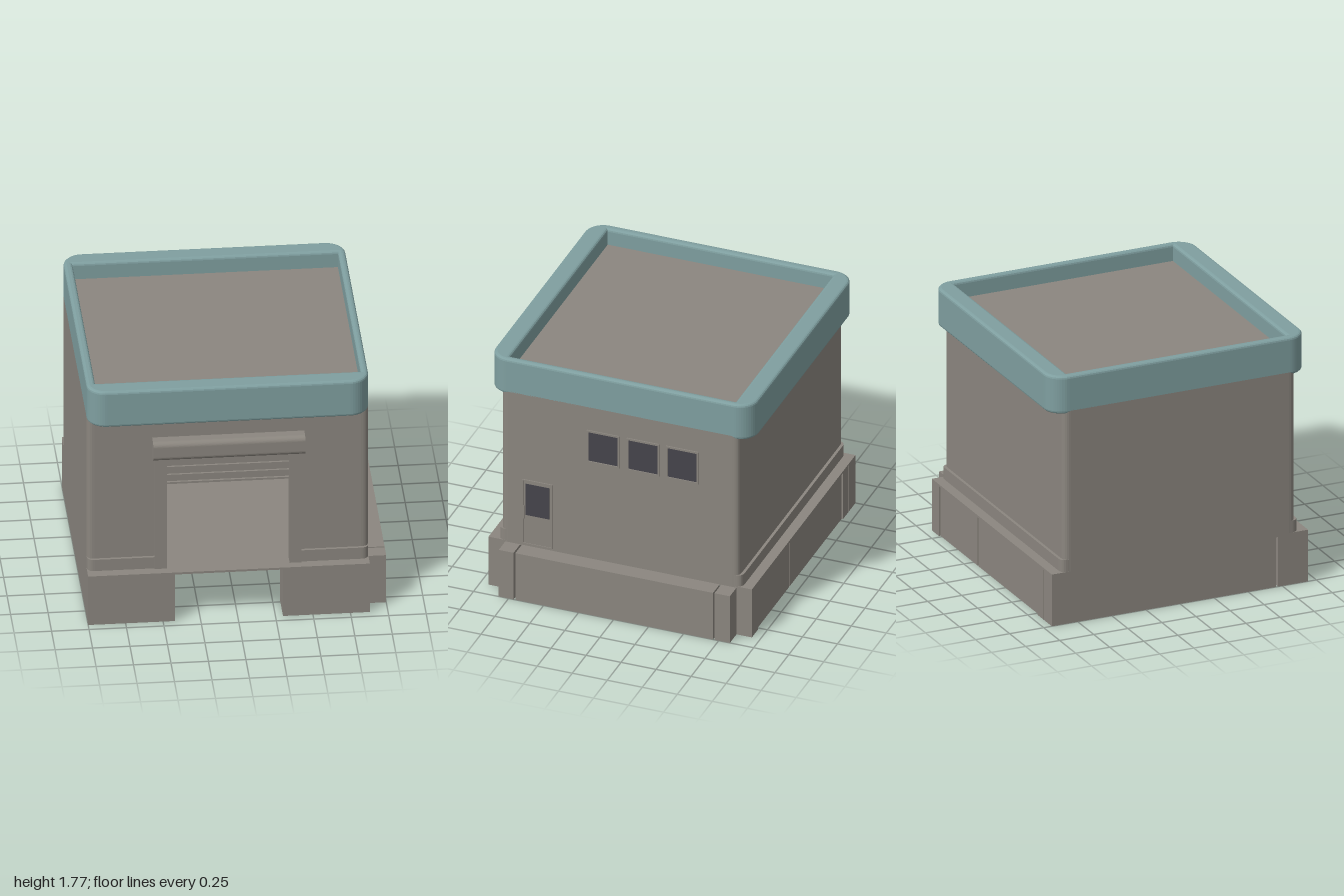
import * as THREE from 'three';

const X0 = -1, X1 = 0.88;        // outer x limits of the building
const DOOR0 = -0.47, DOOR1 = 0.35; // garage opening

export function createModel() {
  const model = new THREE.Group();
  const mat = (name, color) => {
    const m = new THREE.MeshStandardMaterial({ color });
    m.name = name;
    return m;
  };
  const grey = mat('concrete grey', 0x8b867f);
  const teal = mat('roof teal', 0x7f9fa0);
  const dark = mat('dark glass', 0x45444b);
  const tan = mat('board tan', 0xa08b6c);
  const slate = mat('plate slate', 0x858589);

  const add = (name, geo, material) => {
    const mesh = new THREE.Mesh(geo, material);
    mesh.name = name;
    model.add(mesh);
    return mesh;
  };
  // Box given by its limits on each axis
  const box = (name, x0, x1, y0, y1, z0, z1, material = grey) => {
    const geo = new THREE.BoxGeometry(x1 - x0, y1 - y0, z1 - z0);
    geo.translate((x0 + x1) / 2, (y0 + y1) / 2, (z0 + z1) / 2);
    return add(name, geo, material);
  };
  const roundedRect = (x0, x1, y0, y1, r) => {
    const s = new THREE.Shape();
    s.absarc(x1 - r, y1 - r, r, 0, Math.PI / 2);
    s.absarc(x0 + r, y1 - r, r, Math.PI / 2, Math.PI);
    s.absarc(x0 + r, y0 + r, r, Math.PI, Math.PI * 1.5);
    s.absarc(x1 - r, y0 + r, r, Math.PI * 1.5, Math.PI * 2);
    s.closePath();
    return s;
  };
  const rectPath = (x0, x1, y0, y1) => new THREE.Path([
    new THREE.Vector2(x0, y0), new THREE.Vector2(x0, y1),
    new THREE.Vector2(x1, y1), new THREE.Vector2(x1, y0),
  ]);

  // Wall ring in plan, open at the garage door
  const shell = (name, x0, x1, zo, t, r, gap0, gap1, y0, y1) => {
    const s = new THREE.Shape();
    const zi = zo - t;
    s.moveTo(gap0, -zo);
    s.lineTo(x0 + r, -zo);
    s.quadraticCurveTo(x0, -zo, x0, -zo + r);
    s.lineTo(x0, zo - r);
    s.quadraticCurveTo(x0, zo, x0 + r, zo);
    s.lineTo(x1 - r, zo);
    s.quadraticCurveTo(x1, zo, x1, zo - r);
    s.lineTo(x1, -zo + r);
    s.quadraticCurveTo(x1, -zo, x1 - r, -zo);
    s.lineTo(gap1, -zo);
    s.lineTo(gap1, -zi);
    s.lineTo(x1 - t, -zi);
    s.lineTo(x1 - t, zi);
    s.lineTo(x0 + t, zi);
    s.lineTo(x0 + t, -zi);
    s.lineTo(gap0, -zi);
    s.closePath();
    const geo = new THREE.ExtrudeGeometry(s, { depth: y1 - y0, bevelEnabled: false, curveSegments: 6 });
    geo.rotateX(-Math.PI / 2).translate(0, y0, 0);
    add(name, geo, grey);
  };

  // Walls, skirting and the wall above the garage door
  shell('walls', X0, X1, 0.85, 0.05, 0.05, DOOR0, DOOR1, 0.37, 1.525);
  shell('skirting', X0 + 0.001, X1 - 0.001, 0.87, 0.06, 0.05, -0.54, 0.42, 0.37, 0.455);
  box('lintel', DOOR0, DOOR1, 1.2, 1.52, 0.8, 0.85);

  // Roof rim and sunken deck
  const b = 0.02;
  const rim = roundedRect(X0 + b, X1 - b, -0.94 + b, 0.94 - b, 0.11);
  rim.holes.push(rectPath(-0.95 - b / 2, 0.84 + b / 2, -0.805 - b, 0.805 + b));
  const rimGeo = new THREE.ExtrudeGeometry(rim, {
    depth: 0.27 - 2 * b, bevelThickness: b, bevelSize: b, bevelSegments: 3, curveSegments: 6,
  });
  rimGeo.rotateX(-Math.PI / 2).translate(0, 1.5 + b, 0);
  add('roofRim', rimGeo, teal);
  box('roofDeck', -0.97, 0.86, 1.51, 1.65, -0.84, 0.84);

  // Floor slab and foundation blocks, with the underside left open
  box('floorSlab', X0, X1, 0.355, 0.37, -0.94, 0.94);
  box('frontBlockRight', X0, -0.42, 0, 0.357, 0.72, 0.94);
  box('frontBlockLeft', 0.3, X1, 0, 0.357, 0.72, 0.94);
  box('sideFoundationRight', X0, -0.88, 0, 0.357, -0.94, 0.705);
  for (const [x0, x1, inset] of [[-0.872, -0.775, 0], [-0.768, 0.172, 0.01], [0.185, 0.765, 0.01], [0.77, X1, 0]])
    box('backFoundation', x0, x1, 0, 0.357, -0.94 + inset, -0.82);
  for (const [z0, z1] of [[-0.83, -0.72], [-0.71, 0.702], [0.714, 0.82]])
    box('sideFoundationLeft', X1, 1, 0, 0.36, z0, z1);

  // Garage door frame, rolled shutter and its rounded housing
  box('doorPost', -0.55, DOOR0, 0.37, 1.23, 0.8, 0.88);
  box('doorPost', DOOR1, 0.43, 0.37, 1.23, 0.8, 0.88);
  box('shutterBacking', DOOR0, DOOR1, 1.0, 1.23, 0.81, 0.835);
  for (const y of [1.02, 1.08, 1.14, 1.2])
    box('shutterSlat', DOOR0, DOOR1, y, y + 0.048, 0.82, 0.85);
  box('shutterFoot', DOOR0, DOOR1, 1.0, 1.014, 0.815, 0.855);
  const housing = roundedRect(0.82, 0.94, 1.22, 1.36, 0.035);
  const housingGeo = new THREE.ExtrudeGeometry(housing, { depth: 1.015, bevelEnabled: false, curveSegments: 5 });
  housingGeo.rotateY(-Math.PI / 2).translate(0.45, 0, 0);
  add('shutterHousing', housingGeo, grey);

  // Framed glass on the side wall
  const sideFrame = (name, z0, z1, y0, y1, w) => {
    const s = roundedRect(-z1, -z0, y0, y1, 0.004);
    s.holes.push(rectPath(-z1 + w, -z0 - w, y0 + w, y1 - w));
    const geo = new THREE.ExtrudeGeometry(s, { depth: 0.008, bevelEnabled: false });
    geo.rotateY(Math.PI / 2).translate(X1, 0, 0);
    add(name, geo, grey);
  };
  for (const z of [0.12, -0.165, -0.445]) {
    sideFrame('windowFrame', z - 0.118, z + 0.118, 1.1, 1.35, 0.014);
    box('windowGlass', X1 - 0.002, X1 + 0.003, 1.115, 1.335, z - 0.104, z + 0.104, dark);
  }

  // Side door with pane and handle
  sideFrame('sideDoorFrame', 0.48, 0.7, 0.375, 0.87, 0.008);
  box('sideDoorLeaf', X1 - 0.002, X1 + 0.003, 0.38, 0.862, 0.49, 0.69);
  box('sideDoorGlass', X1, X1 + 0.006, 0.6, 0.84, 0.505, 0.675, dark);
  box('sideDoorHandle', X1, X1 + 0.012, 0.57, 0.67, 0.682, 0.689);

  // Workshop interior: bench, wall board and floor mat
  box('benchTop', -0.7, 0.15, 0.535, 0.575, -0.8, -0.58);
  box('benchBody', -0.39, 0.13, 0.41, 0.535, -0.8, -0.6);
  for (const x of [-0.68, -0.4, 0.13])
    box('benchLeg', x - 0.008, x + 0.008, 0.37, 0.535, -0.78, -0.585);
  box('wallBoard', -0.6, 0.07, 0.6, 0.9, -0.802, -0.794, tan);
  box('boardPlate', -0.24, -0.13, 0.72, 0.75, -0.796, -0.788, slate);
  box('floorMat', -0.745, -0.52, 0.369, 0.375, -0.5, 0.6, dark);

  return model;
}
